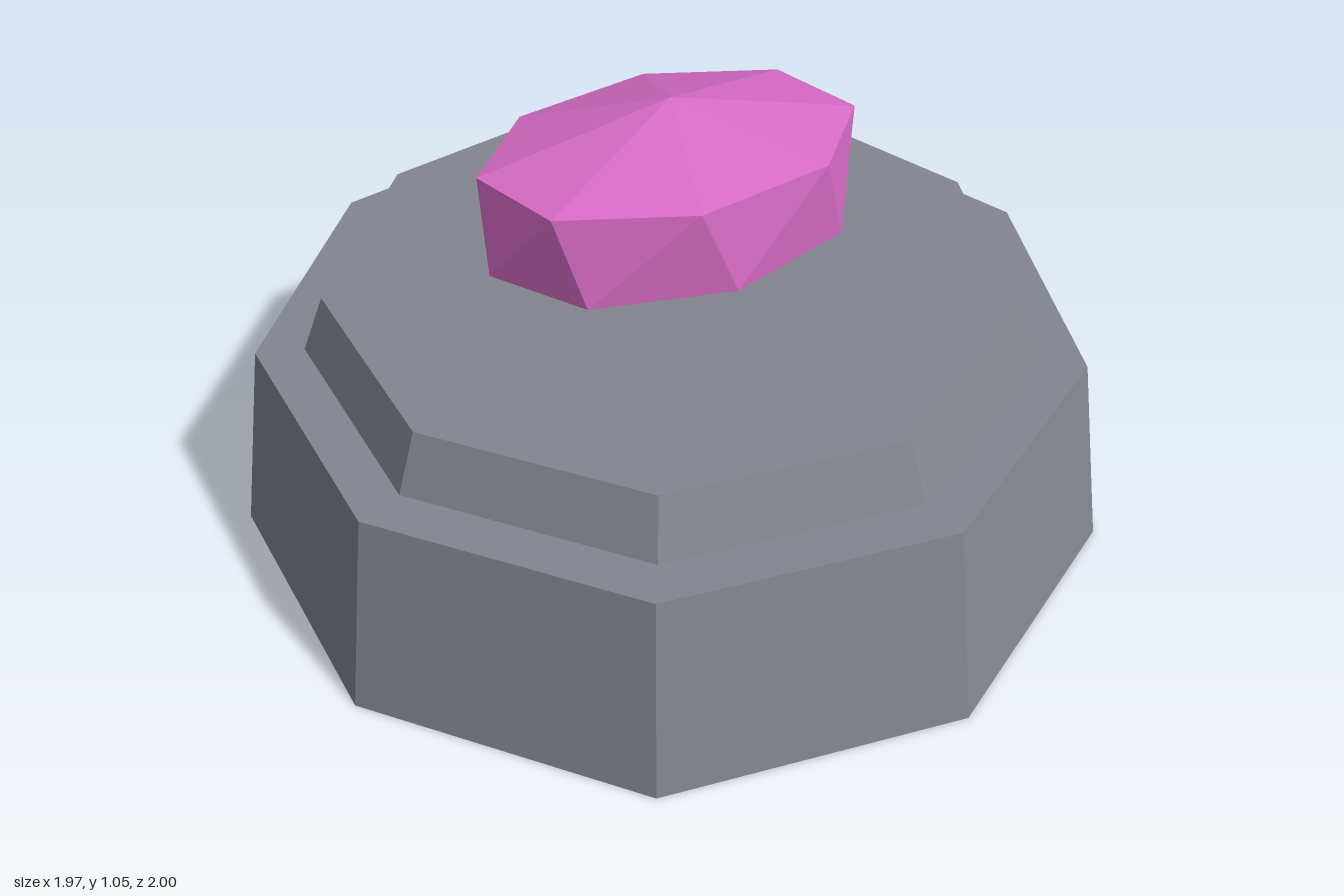
import * as THREE from 'three';
import { ConvexGeometry } from 'three/addons/geometries/ConvexGeometry.js';

const CENTRE_X = -0.03; // axis shared by the plinth and the gem

export function createModel() {
  const model = new THREE.Group();
  model.name = 'gemPedestal';

  const stone = new THREE.MeshStandardMaterial({ name: 'greyStone', color: 0x84868f });
  const crystal = new THREE.MeshStandardMaterial({ name: 'pinkCrystal', color: 0xd66bc5 });

  const add = (name, geometry, material) => {
    const mesh = new THREE.Mesh(geometry, material);
    mesh.name = name;
    mesh.position.x = CENTRE_X;
    model.add(mesh);
  };

  // Nine-sided tapered tier with one corner pointing to +x
  const tier = (bottomRadius, topRadius, y0, y1) => {
    const g = new THREE.CylinderGeometry(topRadius, bottomRadius, y1 - y0, 9, 1, false, Math.PI / 2)
      .translate(0, (y0 + y1) / 2, 0)
      .toNonIndexed();
    g.computeVertexNormals(); // flat facets
    return g;
  };
  add('lowerTier', tier(1.015, 0.948, 0, 0.475), stone);
  add('upperTier', tier(0.838, 0.787, 0.475, 0.61), stone);

  // Floating gem: two oval rings of eight corners, the upper one twisted, between two tips
  const points = [new THREE.Vector3(0, 1.055, 0), new THREE.Vector3(0, 0.625, 0)];
  for (const [y, twist] of [[0.735, 0], [0.947, Math.PI / 16]]) {
    for (let i = 0; i < 8; i++) {
      const a = (i * Math.PI) / 4 + twist;
      points.push(new THREE.Vector3(0.443 * Math.cos(a), y, 0.303 * Math.sin(a)));
    }
  }
  add('gem', new ConvexGeometry(points), crystal);

  return model;
}
